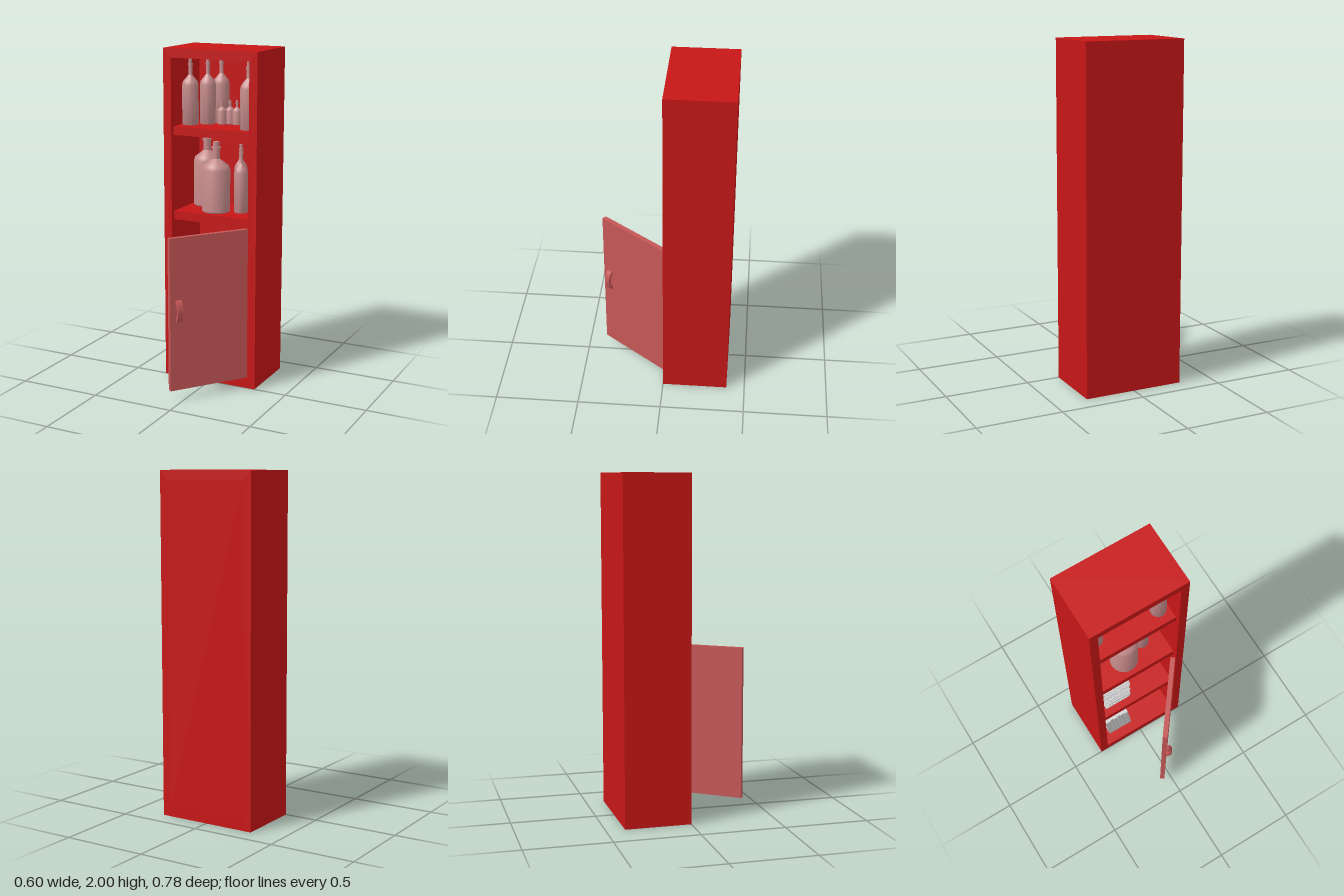
import * as THREE from 'three';
import { toCreasedNormals } from 'three/addons/utils/BufferGeometryUtils.js';

const red = new THREE.MeshStandardMaterial({ color: 0xc71616 });
const doorRed = new THREE.MeshStandardMaterial({ color: 0xc65757 });
const glass = new THREE.MeshStandardMaterial({ color: 0xc58a8a });
const paper = new THREE.MeshStandardMaterial({ color: 0xcccccc });

function add(parent, name, geometry, material, x = 0, y = 0, z = 0) {
  const mesh = new THREE.Mesh(geometry, material);
  mesh.name = name;
  mesh.position.set(x, y, z);
  parent.add(mesh);
  return mesh;
}

function box(parent, name, material, [x0, x1], [y0, y1], [z0, z1]) {
  const geometry = new THREE.BoxGeometry(x1 - x0, y1 - y0, z1 - z0);
  return add(parent, name, geometry, material, (x0 + x1) / 2, (y0 + y1) / 2, (z0 + z1) / 2);
}

// Bottle turned from a profile: body, sloping shoulder, neck and lipped top
function bottle(parent, x, y, z, r, height, shoulder, neckY, neckR) {
  const lip = height * 0.93;
  const profile = [
    [0, 0], [r * 0.94, 0], [r, height * 0.015], [r, shoulder],
    [r * 0.9, shoulder + (neckY - shoulder) * 0.35],
    [neckR * 1.5, neckY - (neckY - shoulder) * 0.15],
    [neckR, neckY], [neckR, lip - 0.012], [neckR * 1.25, lip - 0.012],
    [neckR * 1.25, lip], [neckR * 0.85, lip], [neckR * 0.85, height], [0, height],
  ].map(([a, b]) => new THREE.Vector2(a, b));
  const geometry = toCreasedNormals(new THREE.LatheGeometry(profile, 28), 0.6);
  add(parent, 'bottle', geometry, glass, x, y, z);
}

// Book standing on y = 0, thickness along x, spine on +z
function book(t, h, d) {
  const group = new THREE.Group();
  group.name = 'book';
  const c = 0.003;
  for (const x of [-t / 2, t / 2 - c]) box(group, 'cover', paper, [x, x + c], [0, h], [-d / 2, d / 2]);
  box(group, 'spine', paper, [-t / 2 + c, t / 2 - c], [0, h], [d / 2 - c, d / 2]);
  box(group, 'pages', paper, [-t / 2 + c, t / 2 - c], [0.006, h - 0.006], [-d / 2 + 0.008, d / 2 - c]);
  return group;
}

function buildCabinet(root) {
  // Outer frame with its opening, closed by a back panel
  const shape = new THREE.Shape();
  shape.moveTo(-0.3, 0).lineTo(0.3, 0).lineTo(0.3, 2).lineTo(-0.3, 2).closePath();
  const hole = new THREE.Path();
  hole.moveTo(-0.25, 0.06).lineTo(-0.25, 1.945).lineTo(0.25, 1.945).lineTo(0.25, 0.06).closePath();
  shape.holes.push(hole);
  add(root, 'cabinetFrame', new THREE.ExtrudeGeometry(shape, { depth: 0.39, bevelEnabled: false }), red, 0, 0, -0.39);
  box(root, 'backPanel', red, [-0.25, 0.25], [0.06, 1.945], [-0.39, -0.365]);
  for (const top of [0.54, 1.03, 1.54]) {
    box(root, 'shelf', red, [-0.25, 0.25], [top - 0.05, top], [-0.365, -0.03]);
  }
}

function buildDoor(root) {
  // Door swings about its right-hand vertical edge
  const door = new THREE.Group();
  door.name = 'door';
  door.position.set(0.249, 0, -0.007);
  door.rotation.y = 0.919;
  root.add(door);
  box(door, 'doorPanel', doorRed, [-0.5, 0], [0.065, 0.978], [-0.028, 0]);

  // Arched pull: x of the shape is the distance from the door face
  const arch = new THREE.Shape();
  arch.moveTo(0, -0.065);
  arch.lineTo(0.012, -0.062);
  arch.bezierCurveTo(0.04, -0.03, 0.04, 0.03, 0.012, 0.062);
  arch.lineTo(0, 0.065);
  arch.lineTo(0, 0.045);
  arch.bezierCurveTo(0.022, 0.022, 0.022, -0.022, 0, -0.045);
  const geometry = new THREE.ExtrudeGeometry(arch, { depth: 0.034, bevelEnabled: false, curveSegments: 12 });
  geometry.rotateY(-Math.PI / 2);
  add(door, 'doorHandle', toCreasedNormals(geometry, 0.6), doorRed, -0.431, 0.545, 0);
}

function buildBottles(root) {
  const bottles = new THREE.Group();
  bottles.name = 'bottles';
  root.add(bottles);
  // Upper shelf: x, z, radius, neck radius
  for (const [x, z, r, n] of [
    [-0.2, -0.15, 0.049, 0.012], [-0.12, -0.22, 0.047, 0.012], [-0.075, -0.31, 0.048, 0.012],
    [0.158, -0.275, 0.075, 0.018], [0.19, -0.12, 0.047, 0.012],
  ]) bottle(bottles, x, 1.54, z, r, 0.39, 0.235, 0.295, n);
  for (const [x, z] of [[-0.037, -0.24], [0.003, -0.27], [0.053, -0.26]]) {
    bottle(bottles, x, 1.54, z, 0.027, 0.145, 0.08, 0.105, 0.007);
  }
  // Middle shelf: two wide jugs and three slim bottles
  bottle(bottles, -0.155, 1.03, -0.28, 0.081, 0.44, 0.275, 0.34, 0.022);
  bottle(bottles, -0.025, 1.03, -0.14, 0.084, 0.42, 0.255, 0.32, 0.022);
  for (const [x, z, r] of [[0.07, -0.285, 0.04], [0.12, -0.18, 0.042], [0.193, -0.22, 0.038]]) {
    bottle(bottles, x, 1.03, z, r, 0.39, 0.24, 0.3, 0.011);
  }
}

function buildBooks(root) {
  const books = new THREE.Group();
  books.name = 'books';
  root.add(books);

  function upright(x, y, t, h, d, tilt = 0) {
    const b = book(t, h, d);
    b.position.set(x, y, -0.06 - d / 2);
    b.rotation.z = tilt;
    books.add(b);
  }
  upright(-0.235, 0.54, 0.027, 0.16, 0.22);
  upright(-0.237, 0.06, 0.025, 0.215, 0.22);

  // Leaning row on the cabinet floor
  let x = -0.198;
  [[0.038, 0.245], [0.02, 0.265], [0.026, 0.25], [0.018, 0.262], [0.03, 0.25], [0.024, 0.24]].forEach(([t, h]) => {
    upright(x + t / 2, 0.063, t, h, 0.2, 0.1);
    x += t + 0.002;
  });

  // Stack lying flat, with spines facing +x
  const flat = new THREE.Matrix4().makeBasis(
    new THREE.Vector3(0, 1, 0), new THREE.Vector3(0, 0, 1), new THREE.Vector3(1, 0, 0));
  let y = 0.54;
  [[0.03, 0.17], [0.022, 0.175], [0.035, 0.16], [0.02, 0.18], [0.03, 0.158],
    [0.018, 0.155], [0.04, 0.18], [0.028, 0.17], [0.022, 0.17], [0.015, 0.18]].forEach(([t, d], i) => {
    const b = book(t, 0.26, d);
    b.quaternion.setFromRotationMatrix(flat);
    b.position.set(-0.03 - d / 2, y + t / 2, -0.335 + (i % 3) * 0.005);
    books.add(b);
    y += t;
  });
}

export function createModel() {
  const root = new THREE.Group();
  root.name = 'cabinet';
  buildCabinet(root);
  buildDoor(root);
  buildBottles(root);
  buildBooks(root);
  // Centre the depth of cabinet and open door at the hinge plane
  return root;
}
